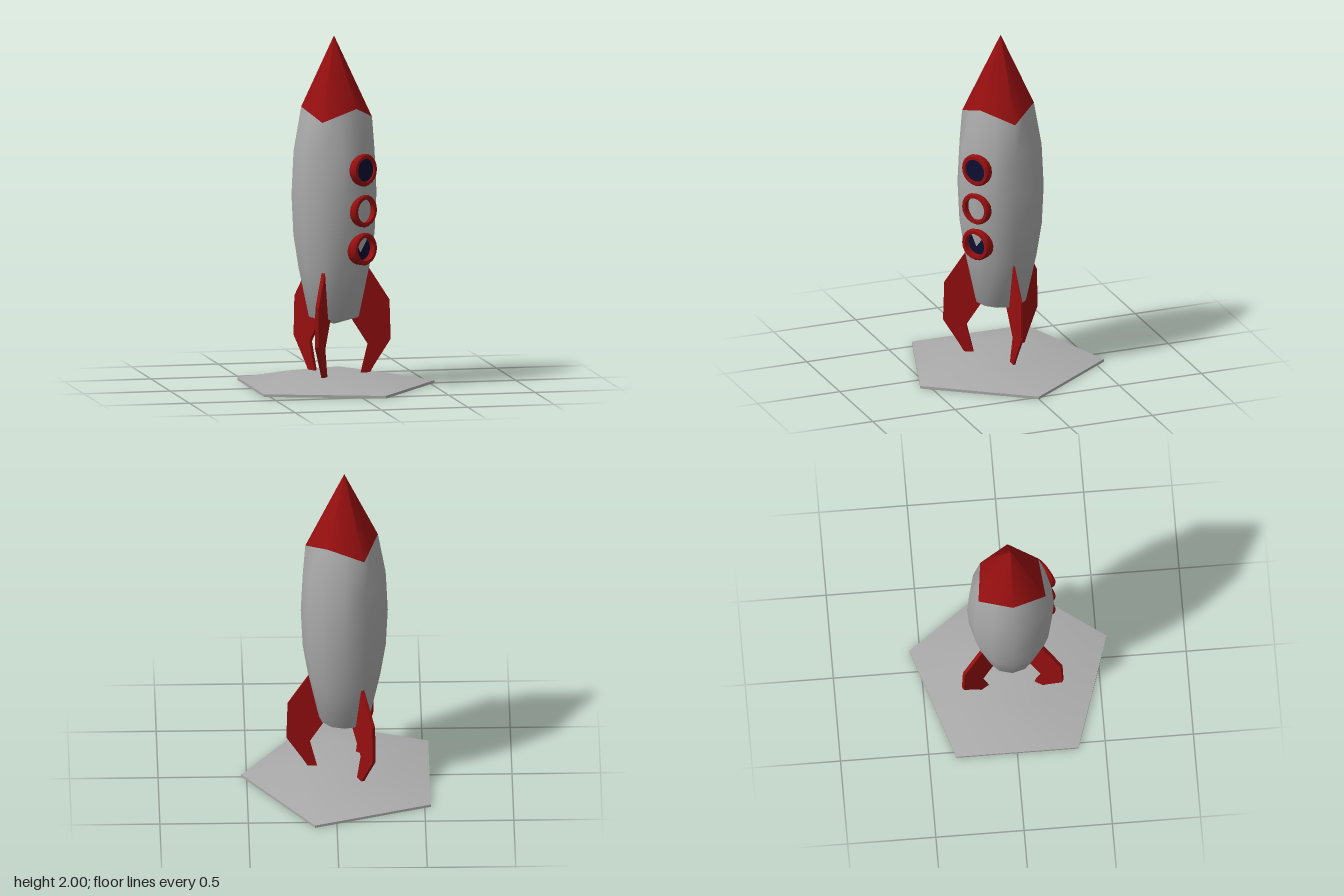
import * as THREE from 'three';
import { toCreasedNormals } from 'three/addons/utils/BufferGeometryUtils.js';

const SIDES = 12;
const AXIS_X = -0.052;

// A level ring of points around the rocket axis
function ring(y, r) {
  return Array.from({ length: SIDES }, (_, i) => {
    const a = (i / SIDES) * Math.PI * 2;
    return new THREE.Vector3(r * Math.cos(a), y, r * Math.sin(a));
  });
}

// Zigzag seam between hull and nose: a hexagon with alternate low and high corners
function seamRing() {
  const low = ring(1.53, 0.22), high = ring(1.6, 0.19);
  const pts = low.map((p, i) => (i % 4 === 0 ? p : high[i]));
  for (let i = 1; i < SIDES; i += 2) {
    pts[i] = pts[i - 1].clone().add(pts[(i + 1) % SIDES]).multiplyScalar(0.5);
  }
  return pts;
}

// Smooth skin over rings listed from bottom to top
function loft(rings) {
  const index = [];
  for (let j = 0; j < rings.length - 1; j++) {
    for (let i = 0; i < SIDES; i++) {
      const k = (i + 1) % SIDES;
      const a = j * SIDES + i, b = j * SIDES + k;
      index.push(a, a + SIDES, b, b, a + SIDES, b + SIDES);
    }
  }
  const geo = new THREE.BufferGeometry().setFromPoints(rings.flat());
  geo.setIndex(index);
  geo.computeVertexNormals();
  return geo;
}

function lathe(points, segments, phiStart, crease) {
  const profile = points.map(([x, y]) => new THREE.Vector2(x, y));
  return toCreasedNormals(new THREE.LatheGeometry(profile, segments, phiStart), crease);
}

export function createModel() {
  const grey = new THREE.MeshStandardMaterial({ color: 0xaaaaaa });
  grey.name = 'hull grey';
  const red = new THREE.MeshStandardMaterial({ color: 0x960f10 });
  red.name = 'trim red';
  const navy = new THREE.MeshStandardMaterial({ color: 0x0d0d33 });
  navy.name = 'glass navy';

  const model = new THREE.Group();
  model.name = 'rocket';
  const add = (parent, name, geo, mat) => {
    const mesh = new THREE.Mesh(geo, mat);
    mesh.name = name;
    parent.add(mesh);
    return mesh;
  };

  // Five-sided launch pad
  const pad = add(model, 'launchPad', lathe(
    [[0, 0], [0.588, 0], [0.588, 0.015], [0.285, 0.072], [0, 0.072]], 5, Math.PI / 2, 0.7), grey);
  pad.position.x = -0.058;

  const rocket = new THREE.Group();
  rocket.name = 'rocketBody';
  rocket.position.x = AXIS_X;
  model.add(rocket);

  // Hull and nose cone share the zigzag seam
  const hullProfile = [[0.355, 0], [0.4, 0.145], [0.68, 0.205], [0.87, 0.235], [1.1, 0.246], [1.35, 0.234]];
  add(rocket, 'hull', loft([...hullProfile.map(([y, r]) => ring(y, r)), seamRing()]), grey);
  add(rocket, 'noseCone', loft([seamRing(), ring(2, 0)]), red);

  // Three swept fins that double as legs
  const finShape = new THREE.Shape([
    [0.12, 0.7], [0.2, 0.672], [0.32, 0.485], [0.327, 0.26], [0.235, 0.12], [0.207, 0.073],
    [0.155, 0.073], [0.195, 0.235], [0.1, 0.385],
  ].map(([x, y]) => new THREE.Vector2(x, y)));
  for (let i = 0; i < 3; i++) {
    const thickness = i === 0 ? 0.011 : 0.02;
    const geo = new THREE.ExtrudeGeometry(finShape, { depth: thickness, bevelEnabled: false });
    geo.translate(0, 0, -thickness / 2);
    add(rocket, 'fin' + (i + 1), geo, red).rotation.y = -(i * Math.PI * 2) / 3;
  }

  // Portholes: [height, distance of the glass from the axis]
  const rimGeo = lathe(
    [[0.092, 0.19], [0.093, 0.245], [0.085, 0.257], [0.067, 0.257], [0.064, 0.19]], 20, 0, 0.6);
  rimGeo.rotateZ(-Math.PI / 2);
  const glassGeo = new THREE.CircleGeometry(0.066, 20).rotateY(Math.PI / 2);
  [[1.255, 0.246], [1.022, 0.225], [0.805, 0.221]].forEach(([y, d], i) => {
    const porthole = new THREE.Group();
    porthole.name = 'porthole' + (i + 1);
    porthole.position.y = y;
    porthole.rotation.y = -THREE.MathUtils.degToRad(57);
    add(porthole, 'rim', rimGeo, red);
    add(porthole, 'glass', glassGeo, navy).position.x = d;
    rocket.add(porthole);
  });

  return model;
}
